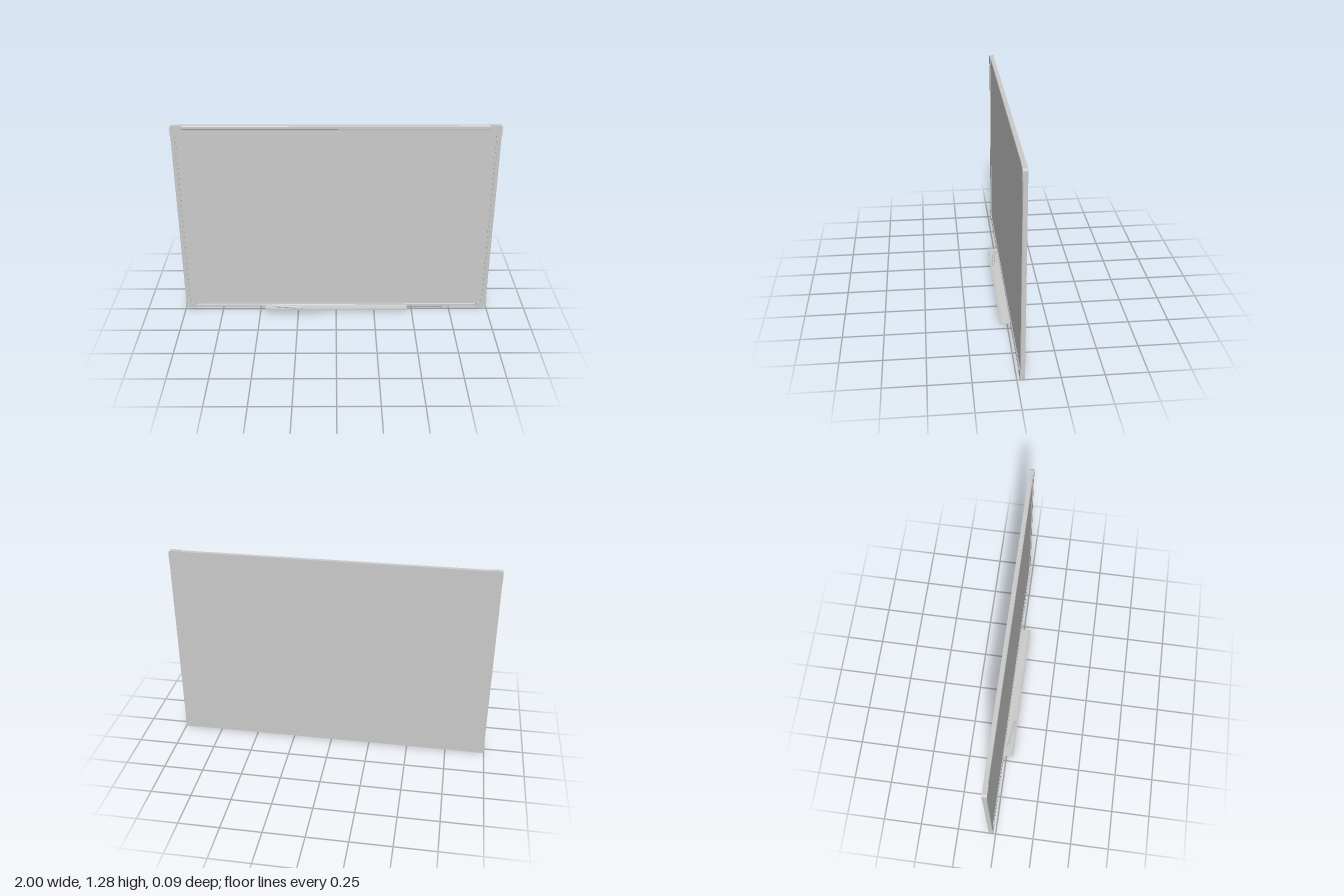
import * as THREE from 'three';

const W = 2, H = 1.285, BACK = -0.046, FRONT = -0.017;
const CORNER = 0.07, BORDER = 0.031;

export function createModel() {
  const model = new THREE.Group();
  const grey = new THREE.MeshStandardMaterial({ color: 0xcccccc });
  const greyThin = new THREE.MeshStandardMaterial({ color: 0xcccccc, side: THREE.DoubleSide });

  const add = (name, geometry, parent = model, material = grey) => {
    const mesh = new THREE.Mesh(geometry, material);
    mesh.name = name;
    parent.add(mesh);
    return mesh;
  };
  const extrude = (shape, depth) =>
    new THREE.ExtrudeGeometry(shape, { depth, bevelEnabled: false, curveSegments: 8 });

  // Writing panel, recessed behind the frame's front edge
  const panelDepth = 0.021;
  add('writingPanel', new THREE.BoxGeometry(W - 0.02, H - 0.02, panelDepth))
    .position.set(0, H / 2, BACK + panelDepth / 2);

  // Frame rails: a stepped profile (inward distance, depth) swept along each side
  const profile = new THREE.Shape([
    [0.002, BACK], [BORDER, BACK], [BORDER, -0.022], [0.023, -0.021], [0.021, -0.019],
    [0.006, -0.019], [0.002, -0.022],
  ].map(([u, v]) => new THREE.Vector2(u, v)));
  const sweep = new THREE.Matrix4().makeBasis(
    new THREE.Vector3(0, 1, 0), new THREE.Vector3(0, 0, 1), new THREE.Vector3(1, 0, 0));
  ['bottomRail', 'leftRail', 'topRail', 'rightRail'].forEach((name, i) => {
    const [length, reach] = i % 2 ? [H, W / 2] : [W, H / 2];
    const run = length - 2 * CORNER + 0.004;
    const geometry = extrude(profile, run)
      .translate(0, 0, -run / 2)
      .applyMatrix4(sweep)
      .translate(0, -reach, 0)
      .rotateZ(i * Math.PI / 2);
    add(name, geometry).position.y = H / 2;
  });

  // Corner caps: L-shaped, rounded outside and inside, slightly proud of the rails
  for (const sx of [-1, 1]) {
    for (const sy of [-1, 1]) {
      const at = (u, v) => [sx * (W / 2 - u), H / 2 + sy * (H / 2 - v)];
      const r = 0.018, b = BORDER, ri = 0.03;
      const shape = new THREE.Shape();
      shape.moveTo(...at(CORNER, 0));
      shape.lineTo(...at(r, 0));
      shape.quadraticCurveTo(...at(0, 0), ...at(0, r));
      shape.lineTo(...at(0, CORNER));
      shape.lineTo(...at(b, CORNER));
      shape.lineTo(...at(b, b + ri));
      shape.quadraticCurveTo(...at(b, b), ...at(b + ri, b));
      shape.lineTo(...at(CORNER, b));
      shape.closePath();
      const name = (sy > 0 ? 'top' : 'bottom') + (sx > 0 ? 'Left' : 'Right') + 'Corner';
      add(name, extrude(shape, FRONT - BACK)).position.z = BACK;
    }
  }

  // Pen tray: a thin, shallow curved strip clipped to the bottom rail
  const trayLength = 0.94;
  const upper = new THREE.CatmullRomCurve3(
    [[-0.022, 0.019], [-0.01, 0.016], [0.012, 0.0145], [0.032, 0.016], [0.046, 0.021]]
      .map(([z, y]) => new THREE.Vector3(z, y, 0))).getPoints(16);
  const lower = upper.map((p) => new THREE.Vector2(p.x, p.y - 0.002)).reverse();
  const trayShape = new THREE.Shape([...upper.map((p) => new THREE.Vector2(p.x, p.y)), ...lower]);
  const tray = add('penTray', extrude(trayShape, trayLength), model, greyThin);
  tray.rotation.y = -Math.PI / 2;
  tray.position.x = trayLength / 2;

  // Marker pen lying at a slight angle in the tray
  const pen = new THREE.Group();
  pen.name = 'markerPen';
  const lathe = (points) =>
    new THREE.LatheGeometry(points.map(([r, y]) => new THREE.Vector2(r, y)), 20);
  add('penBarrel', lathe([
    [0, -0.095], [0.007, -0.095], [0.007, -0.095], [0.0085, -0.092], [0.0085, -0.092],
    [0.0085, 0.03], [0.0085, 0.03], [0, 0.03],
  ]), pen);
  add('penCap', lathe([
    [0, 0.028], [0.0095, 0.028], [0.0095, 0.028], [0.0092, 0.065], [0.0085, 0.072],
    [0.005, 0.092], [0.003, 0.095], [0, 0.095],
  ]), pen);
  pen.quaternion.setFromUnitVectors(
    new THREE.Vector3(0, 1, 0), new THREE.Vector3(0.19, 0, 0.024).normalize());
  pen.position.set(-0.315, 0.0245, 0.015);
  model.add(pen);

  return model;
}
